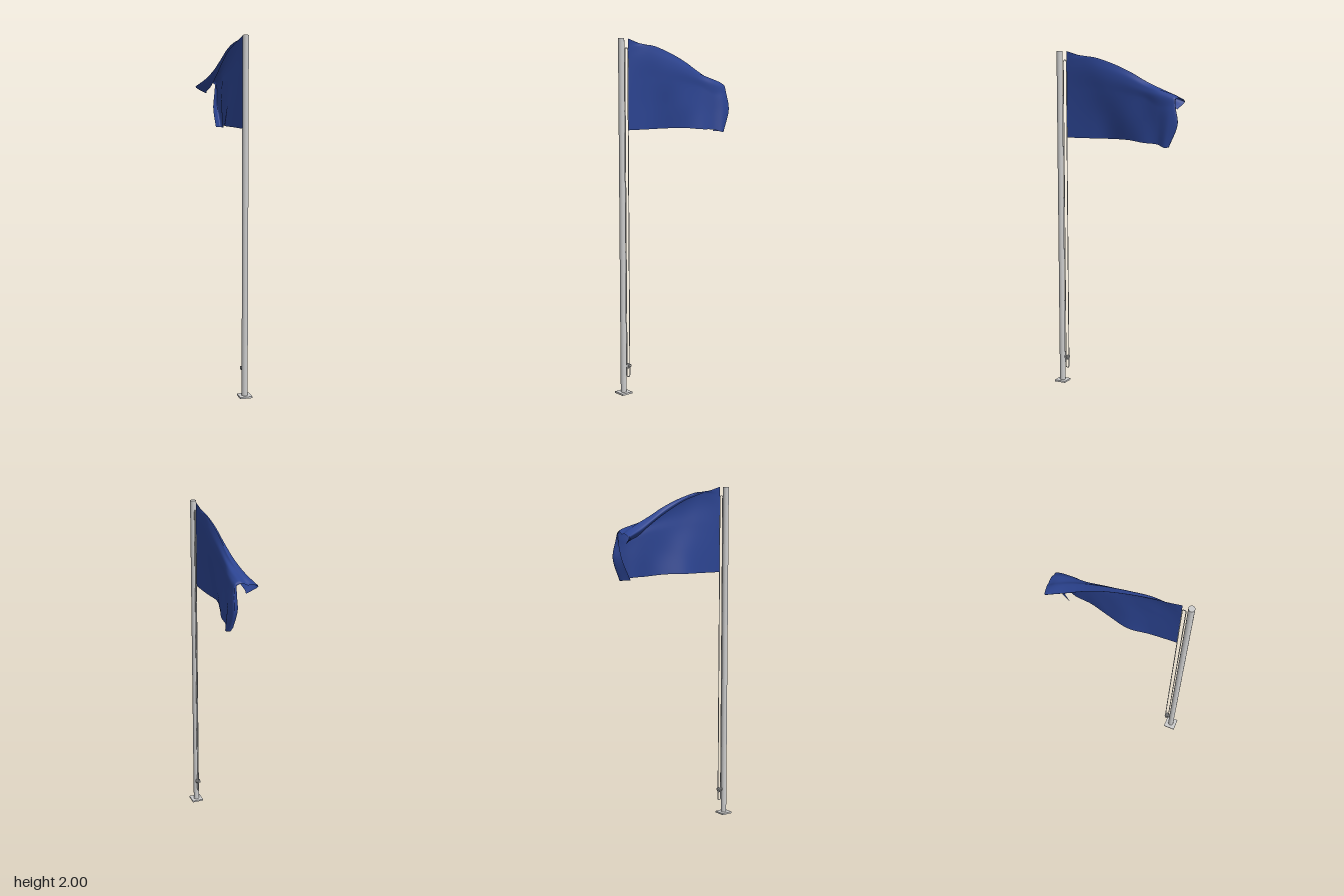
import * as THREE from 'three';

const grey = new THREE.MeshStandardMaterial({ color: 0xcccccc });
const blue = new THREE.MeshStandardMaterial({ color: 0x2b4390, side: THREE.DoubleSide });
const PX = 0.011, PZ = 0.367; // pole axis

function add(group, name, geometry, x = 0, y = 0, z = 0, material = grey) {
  const mesh = new THREE.Mesh(geometry, material);
  mesh.name = name;
  mesh.position.set(x, y, z);
  group.add(mesh);
  return mesh;
}

// Long upright rope loop with round ends, in the plane x = const
function ropeLoop(x, z0, z1, y0, y1, radius) {
  const r = (z1 - z0) / 2, zc = (z0 + z1) / 2, path = new THREE.CurvePath();
  const arc = (yc, start) => {
    const pts = [];
    for (let i = 0; i <= 8; i++) {
      const a = start + (i / 8) * Math.PI;
      pts.push(new THREE.Vector3(x, yc + Math.sin(a) * r, zc + Math.cos(a) * r));
    }
    return pts;
  };
  const pts = [...arc(y1 - r, 0), ...arc(y0 + r, Math.PI)];
  pts.push(pts[0].clone());
  for (let i = 1; i < pts.length; i++) path.add(new THREE.LineCurve3(pts[i - 1], pts[i]));
  return new THREE.TubeGeometry(path, 400, radius, 8, true);
}

// Cross-sections from hoist to fly: [x, y] from the tucked-under top hem to the bottom edge.
// A third number replaces the section's z where the fly end curls.
const SECTIONS = [
  { z: 0.32, p: [[0.01, 2], [0.01, 1.985], [0.01, 1.95], [0.01, 1.88], [0.01, 1.77], [0.01, 1.64], [0.01, 1.5]] },
  { z: 0.17, p: [[0.005, 1.955], [0.003, 1.966], [0.012, 1.967], [0.022, 1.9], [0.015, 1.78], [0.006, 1.64], [0.001, 1.5]] },
  { z: 0.05, p: [[0.002, 1.915], [-0.004, 1.93], [0.01, 1.937], [0.029, 1.87], [0.025, 1.77], [0.006, 1.63], [-0.012, 1.5]] },
  { z: -0.08, p: [[0, 1.848], [-0.01, 1.868], [0.01, 1.885], [0.033, 1.83], [0.03, 1.75], [0.028, 1.62], [0.018, 1.5]] },
  { z: -0.19, p: [[-0.003, 1.78], [-0.025, 1.806], [0.01, 1.827], [0.036, 1.79], [0.035, 1.73], [0.04, 1.61], [0.05, 1.49]] },
  { z: -0.28, p: [[-0.012, 1.72], [-0.048, 1.758], [0, 1.787], [0.046, 1.77], [0.052, 1.69], [0.055, 1.59], [0.06, 1.485]] },
  { z: -0.35, p: [[-0.02, 1.69], [-0.07, 1.73], [-0.015, 1.757], [0.045, 1.755], [0.062, 1.69], [0.073, 1.6], [0.08, 1.47, -0.33]] },
  { z: -0.38, p: [[-0.02, 1.68, -0.36], [-0.08, 1.72], [-0.02, 1.74], [0.04, 1.748, -0.375], [0.055, 1.69, -0.385], [0.06, 1.6, -0.4], [0.066, 1.473, -0.352]] },
  { z: -0.385, p: [[-0.02, 1.678, -0.365], [-0.08, 1.717], [-0.02, 1.736, -0.39], [0.035, 1.738, -0.38], [0.035, 1.68, -0.375], [0.024, 1.59, -0.36], [0.026, 1.475, -0.305]] },
];

function flagGeometry(nu = 80, nv = 56) {
  // Curves along the flag, one per row of section points
  const rows = SECTIONS[0].p.map((_, j) => new THREE.CatmullRomCurve3(SECTIONS.map(({ z, p }) =>
    new THREE.Vector3(p[j][0], p[j][1], p[j][2] ?? z))));
  const geo = new THREE.PlaneGeometry(1, 1, nv, nu);
  const pos = geo.attributes.position;
  for (let i = 0; i <= nu; i++) {
    const u = i / nu;
    const section = new THREE.CatmullRomCurve3(rows.map((c) => c.getPoint(u)));
    for (let j = 0; j <= nv; j++) {
      const v = j / nv, q = section.getPoint(v);
      // Small creases running along the gathered top
      const crease = 0.005 * u * Math.sin(v * 42 + u * 3) * Math.exp(-Math.pow((v - 0.36) / 0.14, 2));
      pos.setXYZ(i * (nv + 1) + j, q.x + crease * 0.6, q.y + crease, q.z);
    }
  }
  geo.computeVertexNormals();
  return geo;
}

export function createModel() {
  const model = new THREE.Group();
  model.name = 'flagpole';

  // Pole on a square foot
  add(model, 'basePlate', new THREE.BoxGeometry(0.07, 0.01, 0.07), PX, 0.005, PZ);
  add(model, 'pole', new THREE.CylinderGeometry(0.017, 0.017, 1.99, 32), PX, 1.005, PZ);

  // Hoisting rope and the spare loop hanging from the cleat
  add(model, 'halyard', ropeLoop(PX, 0.322, 0.342, 0.14, 1.95, 0.0025));
  add(model, 'spareRope', ropeLoop(PX, 0.322, 0.342, 0.09, 0.165, 0.0025));

  // Cleat with horns along x and rope turns wound around it
  const cleat = new THREE.Group();
  cleat.name = 'cleat';
  cleat.position.set(PX, 0.157, 0.334);
  add(cleat, 'cleatStem', new THREE.BoxGeometry(0.012, 0.012, 0.03), 0, 0, 0.005);
  const horn = add(cleat, 'cleatHorn', new THREE.CapsuleGeometry(0.005, 0.022, 4, 10), 0, 0, -0.004);
  horn.rotation.z = Math.PI / 2;
  for (const x of [-0.011, -0.004, 0.004, 0.011]) {
    const turn = add(cleat, 'ropeTurn', new THREE.TorusGeometry(0.01, 0.002, 6, 18), x, 0, -0.003);
    turn.rotation.y = Math.PI / 2;
  }
  model.add(cleat);

  // Flag
  add(model, 'flag', flagGeometry(), 0, 0, 0, blue);
  return model;
}
